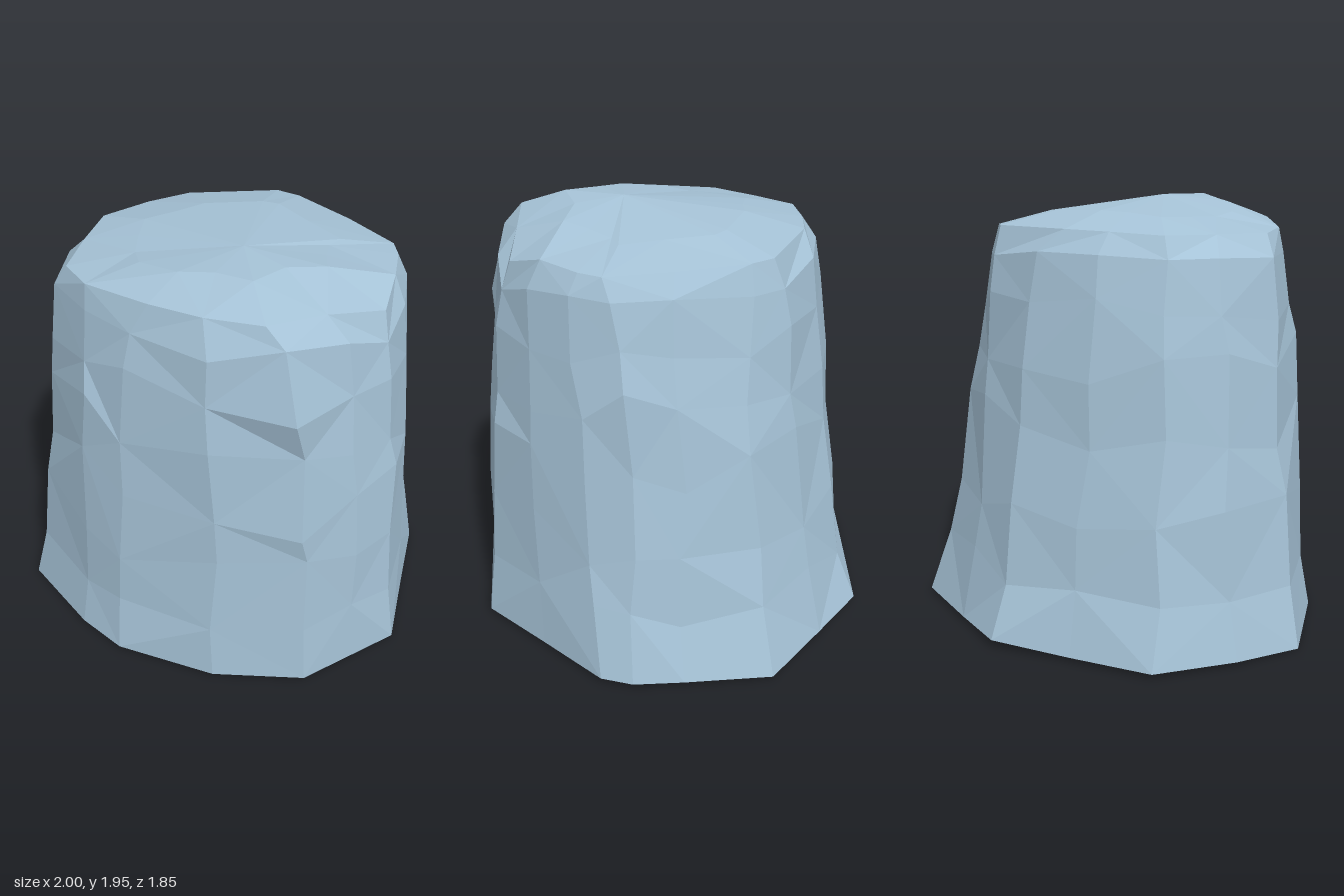
import * as THREE from 'three';

// Outline points (x, z), listed back -> left (+x) -> front -> right (-x)
const BASE = [[0.03, -0.93], [0.34, -0.83], [0.73, -0.71], [0.9, -0.35], [0.99, -0.14], [1, 0.01], [0.85, 0.36], [0.7, 0.72], [0.46, 0.82],
  [0.22, 0.92], [-0.2, 0.83], [-0.62, 0.59], [-0.78, 0.39], [-1, -0.03], [-0.9, -0.35], [-0.7, -0.68], [-0.33, -0.8]];
const MIDDLE = [[0.03, -0.73], [0.33, -0.67], [0.58, -0.53], [0.75, -0.28], [0.84, -0.1], [0.85, 0.12], [0.77, 0.4], [0.65, 0.65], [0.47, 0.78],
  [0.2, 0.89], [-0.2, 0.8], [-0.57, 0.52], [-0.7, 0.35], [-0.85, 0], [-0.79, -0.31], [-0.62, -0.52], [-0.31, -0.67]];
const SHOULDER = [[0, -0.63], [0.32, -0.59], [0.45, -0.49], [0.66, -0.22], [0.77, 0.02], [0.77, 0.2], [0.7, 0.42], [0.58, 0.6], [0.38, 0.72],
  [0.1, 0.83], [-0.2, 0.74], [-0.48, 0.48], [-0.65, 0.28], [-0.77, 0.03], [-0.69, -0.25], [-0.56, -0.43], [-0.3, -0.57]];
const CROWN = [[-0.1, -0.56], [0.33, -0.54], [0.42, -0.47], [0.6, -0.2], [0.74, 0.06], [0.73, 0.17], [0.66, 0.37], [0.57, 0.56], [0.3, 0.66],
  [0.03, 0.77], [-0.2, 0.66], [-0.4, 0.5], [-0.64, 0.25], [-0.71, 0.06], [-0.62, -0.18], [-0.52, -0.4], [-0.3, -0.5]];

// Each row blends two outlines: [from, to, blend, height, roughness]
const ROWS = [
  [BASE, MIDDLE, 0, 0.02, 0],
  [BASE, MIDDLE, 0.48, 0.31, 0.5],
  [BASE, MIDDLE, 0.75, 0.63, 1],
  [BASE, MIDDLE, 1, 0.96, 1],
  [MIDDLE, SHOULDER, 0.3, 1.27, 1],
  [MIDDLE, SHOULDER, 0.65, 1.5, 0.6],
  [MIDDLE, SHOULDER, 1, 1.72, 0.2],
];

function makeRandom(seed) {
  return () => {
    seed = (seed * 16807) % 2147483647;
    return (seed / 2147483647) * 2 - 1;
  };
}

// Triangles between two closed rings, with alternating diagonals
function bridge(out, low, high, offset) {
  const n = low.length;
  for (let i = 0; i < n; i++) {
    const j = (i + 1) % n;
    const a = low[i], b = low[j], c = high[j], d = high[i];
    if ((i + offset) % 2) out.push(a, d, c, a, c, b);
    else out.push(a, d, b, d, c, b);
  }
}

function surface(name, points, material) {
  const geometry = new THREE.BufferGeometry().setFromPoints(points);
  geometry.computeVertexNormals();
  const mesh = new THREE.Mesh(geometry, material);
  mesh.name = name;
  return mesh;
}

export function createModel() {
  const stone = new THREE.MeshStandardMaterial({ color: 0xa6c3d7, flatShading: true, side: THREE.DoubleSide });
  stone.name = 'paleBlueStone';
  const random = makeRandom(4271);

  // Roughened rings up the side
  const rings = ROWS.map(([from, to, t, y, rough]) => from.map(([x, z], i) => {
    const swell = 1 + random() * 0.012 * rough;
    const slide = random() * 0.035 * rough;
    const px = THREE.MathUtils.lerp(x, to[i][0], t) * swell;
    const pz = THREE.MathUtils.lerp(z, to[i][1], t) * swell;
    return new THREE.Vector3(px - pz * slide, y + random() * 0.11 * rough, pz + px * slide);
  }));
  rings[0][13].y = 0;
  rings[0][0].y = 0.035;

  // Crown edge, higher at the front and back than at the sides
  const crown = CROWN.map(([x, z]) => new THREE.Vector3(x, 1.85 - 0.07 * x * x + 0.02 * z, z));
  rings.push(crown);

  // Worn front left corner, lower than the rest of the edge
  crown[7].y = 1.77;
  crown[8].y = 1.83;
  rings[6][7].y = 1.64;

  // Bulge below the front edge
  rings[6][9].y = 1.78;
  rings[5][9].set(0.14, 1.46, 0.9);

  const side = [];
  for (let r = 0; r + 1 < rings.length; r++) bridge(side, rings[r], rings[r + 1], r);

  // Gently domed top
  const cap = [];
  const inner = CROWN.map(([x, z]) => {
    const s = 0.62 + random() * 0.06;
    return new THREE.Vector3(x * s, 1.92 + 0.03 * z - 0.1 * x * x, z * s + 0.05);
  });
  bridge(cap, crown, inner, 1);
  const peak = new THREE.Vector3(0.03, 1.95, 0.25);
  inner.forEach((p, i) => cap.push(p, peak, inner[(i + 1) % inner.length]));

  const group = new THREE.Group();
  group.name = 'rockStump';
  group.add(surface('rockSide', side, stone), surface('rockTop', cap, stone));
  return group;
}
